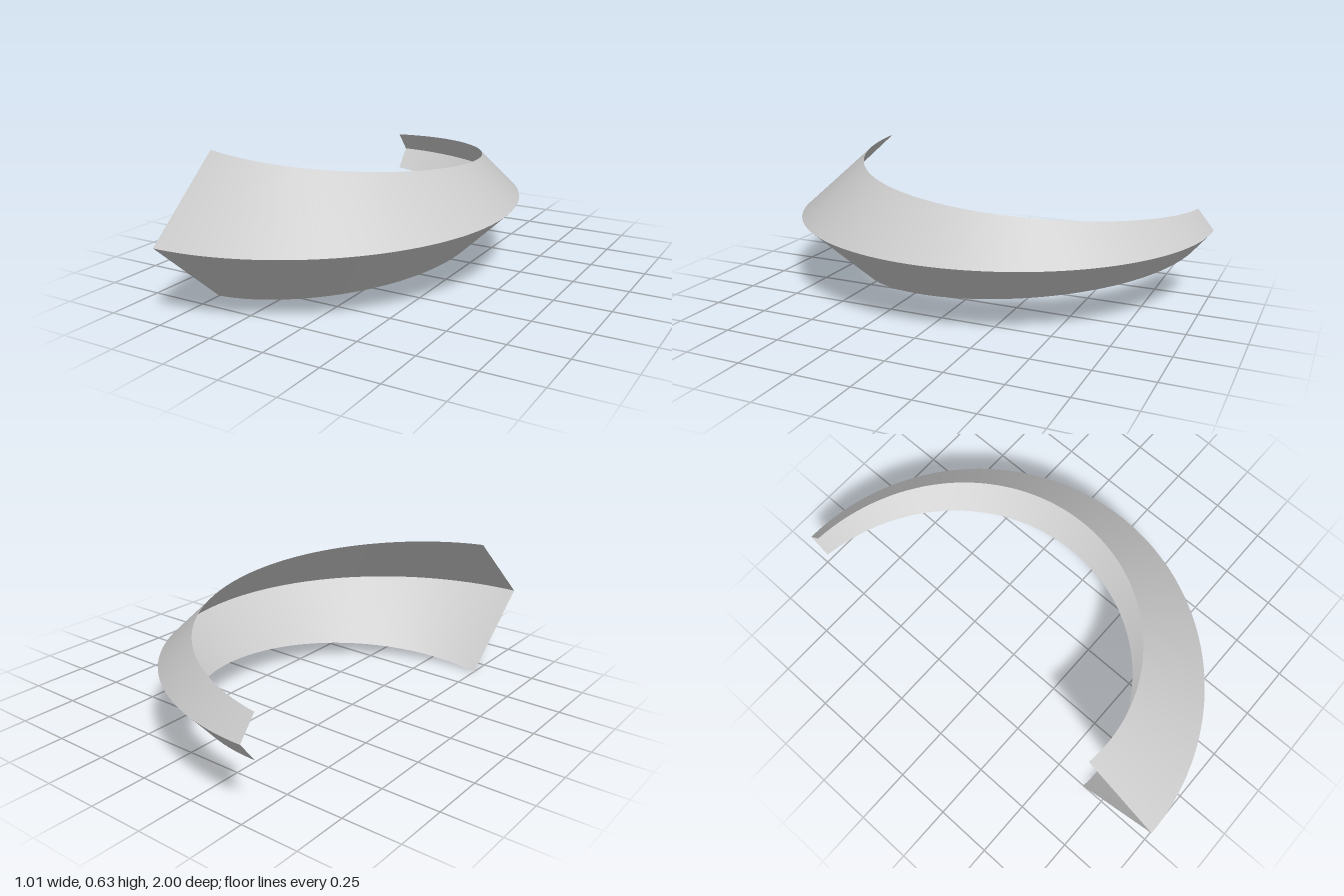
import * as THREE from 'three';

const STEPS = 128;
const OVERSHOOT = 0.01; // the arc runs slightly past a half circle
const CENTRE_X = -0.495;
const RIDGE_Y = 0.316;

// One tapering slope from the outer ridge to an inner rim; side is +1 (up) or -1 (down)
function bandGeometry(side) {
  const positions = [];
  const index = [];
  for (let i = 0; i <= STEPS; i++) {
    const t = i / STEPS;
    const angle = THREE.MathUtils.lerp(-OVERSHOOT, Math.PI + OVERSHOOT, t);
    const inset = THREE.MathUtils.lerp(0.356, 0.076, t);
    const rise = THREE.MathUtils.lerp(0.316, 0.094, t);
    for (const [r, y] of [[1, RIDGE_Y], [1 - inset, RIDGE_Y + side * rise]]) {
      positions.push(CENTRE_X + r * Math.sin(angle), y, r * Math.cos(angle));
    }
    if (i < STEPS) {
      const a = 2 * i, b = a + 1, c = a + 2, d = a + 3;
      if (side > 0) index.push(a, c, b, b, c, d);
      else index.push(a, b, c, b, d, c);
    }
  }
  const geometry = new THREE.BufferGeometry();
  geometry.setAttribute('position', new THREE.Float32BufferAttribute(positions, 3));
  geometry.setIndex(index);
  geometry.computeVertexNormals();
  return geometry;
}

export function createModel() {
  const group = new THREE.Group();
  group.name = 'taperedVRing';
  const material = new THREE.MeshStandardMaterial({ color: 0xcccccc, side: THREE.DoubleSide });

  // Separate halves keep the outer ridge sharp
  for (const [name, side] of [['upperBand', 1], ['lowerBand', -1]]) {
    const band = new THREE.Mesh(bandGeometry(side), material);
    band.name = name;
    group.add(band);
  }
  return group;
}
